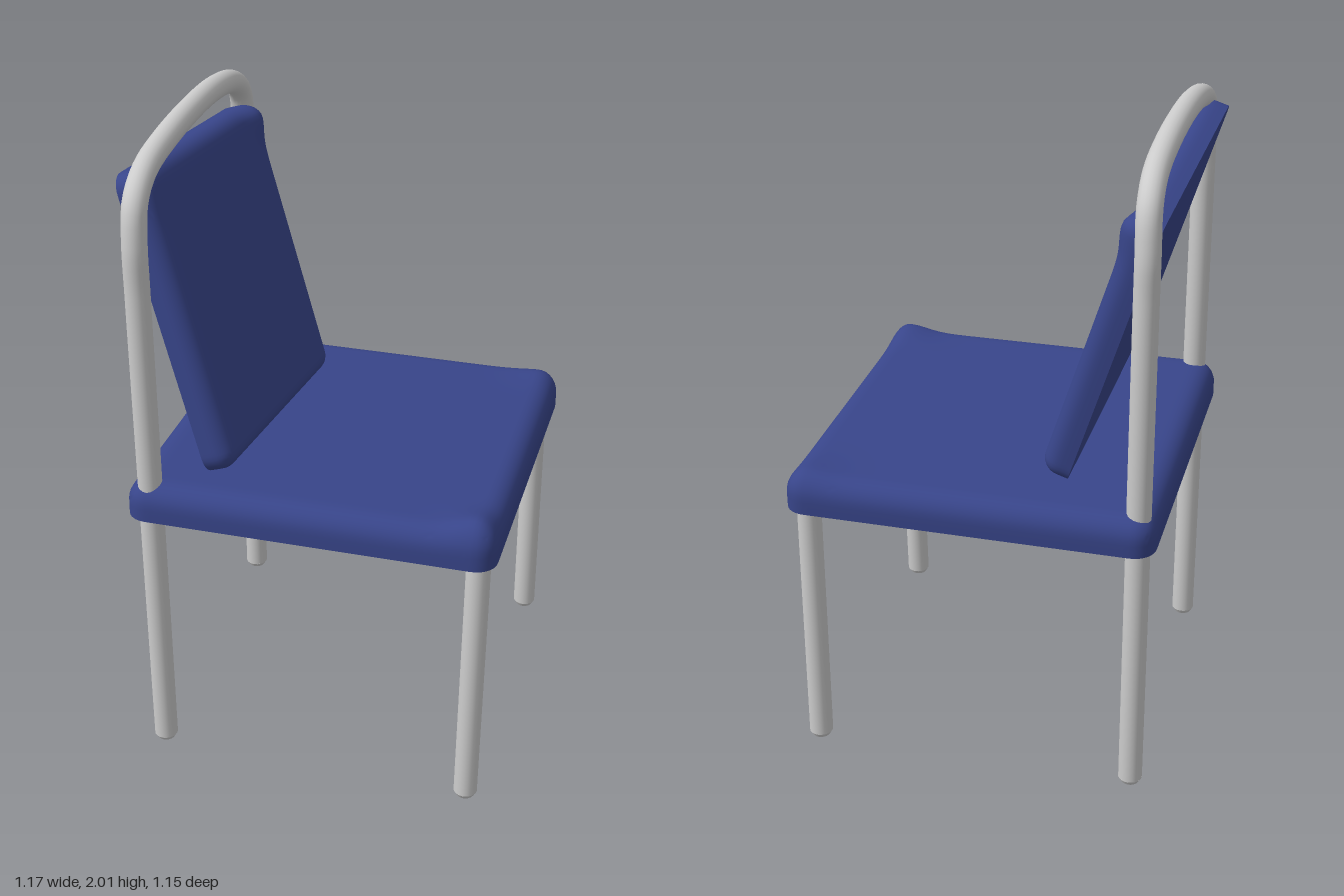
import * as THREE from 'three';
import { mergeVertices, toCreasedNormals } from 'three/addons/utils/BufferGeometryUtils.js';

const R = 0.037; // tube radius
const v = (x, y, z) => new THREE.Vector3(x, y, z);

// Square pad: rounded upper rim, flat underside, two slightly raised corners
function cushionGeometry(w, h, d, r) {
  let geo = new THREE.BoxGeometry(w, h, d, 64, 6, 64);
  geo.deleteAttribute('normal');
  geo.deleteAttribute('uv');
  geo = mergeVertices(geo);
  const pos = geo.attributes.position;
  const p = v(), q = v(), o = v();
  const lo = v(r - w / 2, -h / 2, r - d / 2);
  const hi = v(w / 2 - r, h / 2 - r, d / 2 - r);
  const bump = (p, x, z, size) => size * Math.exp(-((p.x - x) ** 2 + (p.z - z) ** 2) / 0.0075);
  for (let i = 0; i < pos.count; i++) {
    p.fromBufferAttribute(pos, i);
    q.copy(p).clamp(lo, hi);
    o.subVectors(p, q);
    const len = o.length();
    if (len > 1e-6) {
      o.multiplyScalar(Math.max(Math.abs(o.x), Math.abs(o.y), Math.abs(o.z)) / len);
    }
    p.addVectors(q, o);
    const lift = THREE.MathUtils.clamp(p.y / h + 0.5, 0, 1);
    p.y += lift * (bump(p, 0.51, 0.51, 0.026) + bump(p, 0.51, -0.51, 0.01));
    pos.setXYZ(i, p.x, p.y, p.z);
  }
  return toCreasedNormals(geo, 1.0);
}

export function createModel() {
  const model = new THREE.Group();
  model.name = 'chair';
  const metal = new THREE.MeshStandardMaterial({ color: 0xcccccc });
  const fabric = new THREE.MeshStandardMaterial({ color: 0x38458a });

  const add = (parent, name, geo, mat) => {
    const mesh = new THREE.Mesh(geo, mat);
    mesh.name = name;
    parent.add(mesh);
    return mesh;
  };

  // Chamfered foot closing the bottom of a leg
  const addFoot = (parent, x, z) => {
    const foot = add(parent, 'foot', new THREE.CylinderGeometry(R, R * 0.75, 0.016, 20), metal);
    foot.position.set(x, 0.008, z);
  };

  // Rear legs and hoop: one bent tube
  const frame = new THREE.Group();
  frame.name = 'rearFrame';
  model.add(frame);
  const path = new THREE.CatmullRomCurve3([
    v(-0.5, 0.015, 0.507), v(-0.5, 0.9, 0.507), v(-0.5, 1.6, 0.507), v(-0.5, 1.76, 0.505),
    v(-0.503, 1.865, 0.475), v(-0.505, 1.925, 0.39), v(-0.5, 1.962, 0.2),
    v(-0.495, 1.962, -0.2), v(-0.492, 1.92, -0.39), v(-0.495, 1.855, -0.475),
    v(-0.5, 1.74, -0.505), v(-0.5, 1.6, -0.507), v(-0.5, 0.9, -0.507), v(-0.5, 0.015, -0.507),
  ]);
  add(frame, 'hoop', new THREE.TubeGeometry(path, 160, R, 20), metal);
  addFoot(frame, -0.5, 0.507);
  addFoot(frame, -0.5, -0.507);

  // Front legs, one of them splayed slightly
  for (const [name, foot, top] of [
    ['leftFrontLeg', v(0.5, 0.015, 0.54), v(0.508, 0.92, 0.508)],
    ['rightFrontLeg', v(0.51, 0.015, -0.507), v(0.51, 0.9, -0.507)],
  ]) {
    const leg = new THREE.Group();
    leg.name = name;
    model.add(leg);
    add(leg, 'legTube', new THREE.TubeGeometry(new THREE.LineCurve3(foot, top), 1, R, 20), metal);
    addFoot(leg, foot.x, foot.z);
  }

  // Seat pad, a touch higher on the left
  const pad = cushionGeometry(1.135, 0.115, 1.14, 0.068);
  const seat = add(model, 'seat', pad, fabric);
  seat.position.set(0.004, 0.907, 0);
  seat.rotation.set(-0.033, -0.0145, 0);

  // Backrest: the same pad, smaller, leaning back and tilted askew
  const back = add(model, 'backrest', pad, fabric);
  const up = v(-0.307, 0.943, -0.132).normalize();
  const side = v(-0.06, 0.12, 0.991);
  const normal = v().crossVectors(up, side).normalize();
  side.crossVectors(normal, up);
  back.quaternion.setFromRotationMatrix(
    new THREE.Matrix4().makeBasis(up, normal, side.negate()));
  back.scale.setScalar(0.81);
  back.position.set(-0.377, 1.437, 0.02);

  return model;
}
